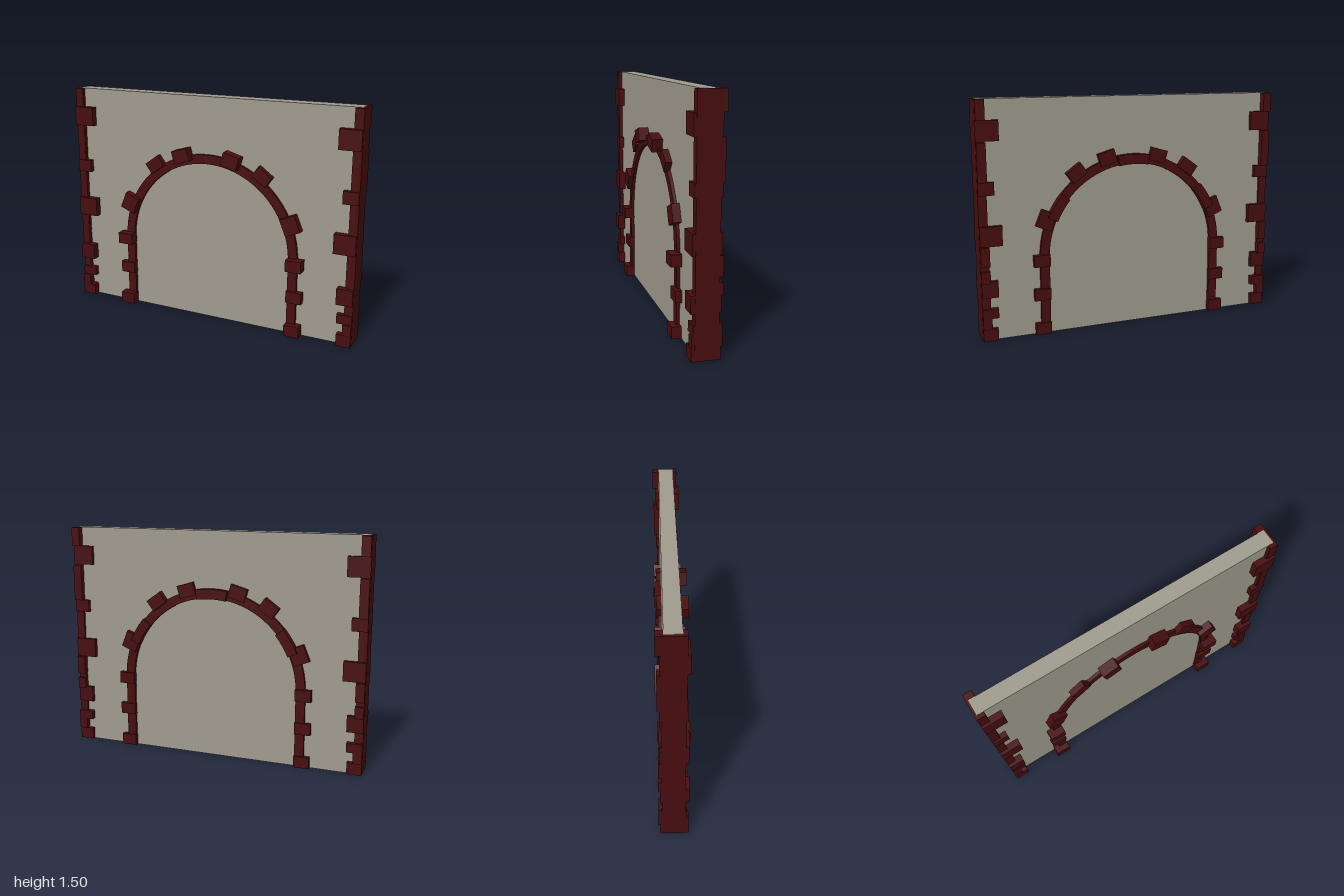
import * as THREE from 'three';

export function createModel() {
  const group = new THREE.Group();
  const plaster = new THREE.MeshStandardMaterial({ color: 0x9f9b8e });
  plaster.name = 'grey plaster';
  const brick = new THREE.MeshStandardMaterial({ color: 0x470d0f });
  brick.name = 'dark red brick';

  const add = (name, geometry, material = brick) => {
    const mesh = new THREE.Mesh(geometry, material);
    mesh.name = name;
    group.add(mesh);
    return mesh;
  };
  // Box given by its limits on each axis
  const block = (name, x0, x1, y0, y1, z0, z1, material) => {
    const g = new THREE.BoxGeometry(Math.abs(x1 - x0), y1 - y0, z1 - z0);
    g.translate((x0 + x1) / 2, (y0 + y1) / 2, (z0 + z1) / 2);
    return add(name, g, material);
  };
  const extrude = (name, shape, z0, z1) => {
    const g = new THREE.ExtrudeGeometry(shape, { depth: z1 - z0, bevelEnabled: false, curveSegments: 24 });
    g.translate(0, 0, z0);
    return add(name, g);
  };

  // Wall, including the filled archway
  const H = 1.495;
  block('wall', -0.985, 0.985, 0, H, -0.06, 0.04, plaster);

  // Arch trim: straight jambs joined by a half circle
  const IN = 0.565, OUT = 0.625, CY = 0.5;
  const trim = new THREE.Shape();
  trim.moveTo(OUT, 0.001);
  trim.lineTo(OUT, CY);
  trim.absarc(0, CY, OUT, 0, Math.PI, false);
  trim.lineTo(-OUT, 0.001);
  trim.lineTo(-IN, 0.001);
  trim.lineTo(-IN, CY);
  trim.absarc(0, CY, IN, Math.PI, 0, true);
  trim.lineTo(IN, 0.001);
  extrude('archTrim', trim, -0.08, 0.06);

  // Curved bricks that stand out on the back of the arch
  const rad = THREE.MathUtils.degToRad;
  const curvedBrick = (a0, a1, z) => {
    const s = new THREE.Shape();
    s.absarc(0, CY, OUT + 0.002, rad(a0), rad(a1), false);
    s.absarc(0, CY, IN - 0.002, rad(a1), rad(a0), true);
    extrude('curvedArchBrick', s, z, -0.05);
  };
  curvedBrick(80, 100, -0.1);
  curvedBrick(24, 40, -0.107);
  curvedBrick(140, 156, -0.107);

  // Projecting arch stones: angle, inner and outer radius, back and front z
  const archStones = [
    [22.4, 0.575, 0.68, -0.09, 0.09],
    [54, 0.61, 0.69, -0.103, 0.08],
    [74, 0.59, 0.675, -0.09, 0.107],
  ];
  // Jamb stones: bottom, top, inner and outer x, back and front z
  const jambStones = [
    [0.001, 0.075, 0.563, 0.663, -0.09, 0.1],
    [0.225, 0.3, 0.563, 0.667, -0.09, 0.08],
    [0.445, 0.52, 0.563, 0.667, -0.095, 0.108],
  ];
  // Quoins: bottom, top, inner x, back and front z
  const quoins = [
    [0.002, 0.08, 0.905, -0.085, 0.085],
    [0.15, 0.21, 0.9, -0.095, 0.075],
    [0.28, 0.385, 0.895, -0.085, 0.09],
    [0.605, 0.73, 0.86, -0.088, 0.085],
    [0.92, 1.0, 0.9, -0.085, 0.075],
    [1.245, 1.37, 0.86, -0.082, 0.082],
  ];
  // Narrow column bricks: bottom, top, back and front z
  const narrowBricks = [
    [0.08, 0.15, -0.095, 0.084],
    [0.375, 0.45, -0.095, 0.06],
    [0.48, 0.6, -0.095, 0.06],
    [1.0, 1.24, -0.097, 0.06],
    [1.37, 1.493, -0.103, 0.06],
  ];

  for (const s of [1, -1]) {
    // Corner column in two faces and an outer side, leaving the wall top visible
    block('columnFront', s * 0.945, s, 0.002, H - 0.002, 0.03, 0.065);
    block('columnBack', s * 0.945, s, 0.002, H - 0.002, -0.075, -0.05);
    block('columnSide', s * 0.975, s, 0.002, H - 0.002, -0.06, 0.04);

    for (const [y0, y1, x, z0, z1] of quoins) {
      block('frontQuoin', s * x, s * 0.999, y0, y1, 0.03, z1);
      block('backQuoin', s * x, s * 0.999, y0, y1, z0, -0.05);
    }
    for (const [y0, y1, z0, z1] of narrowBricks)
      block('columnBrick', s * 0.943, s * 0.999, y0, y1, z0, z1);
    for (const [y0, y1, x0, x1, z0, z1] of jambStones)
      block('jambStone', s * x0, s * x1, y0, y1, z0, z1);
    for (const [a, r0, r1, z0, z1] of archStones) {
      const g = new THREE.BoxGeometry(r1 - r0, 0.113, z1 - z0);
      g.translate((r0 + r1) / 2, 0, (z0 + z1) / 2);
      g.rotateZ(rad(s > 0 ? a : 180 - a));
      g.translate(0, CY, 0);
      add('archStone', g);
    }
  }
  return group;
}
